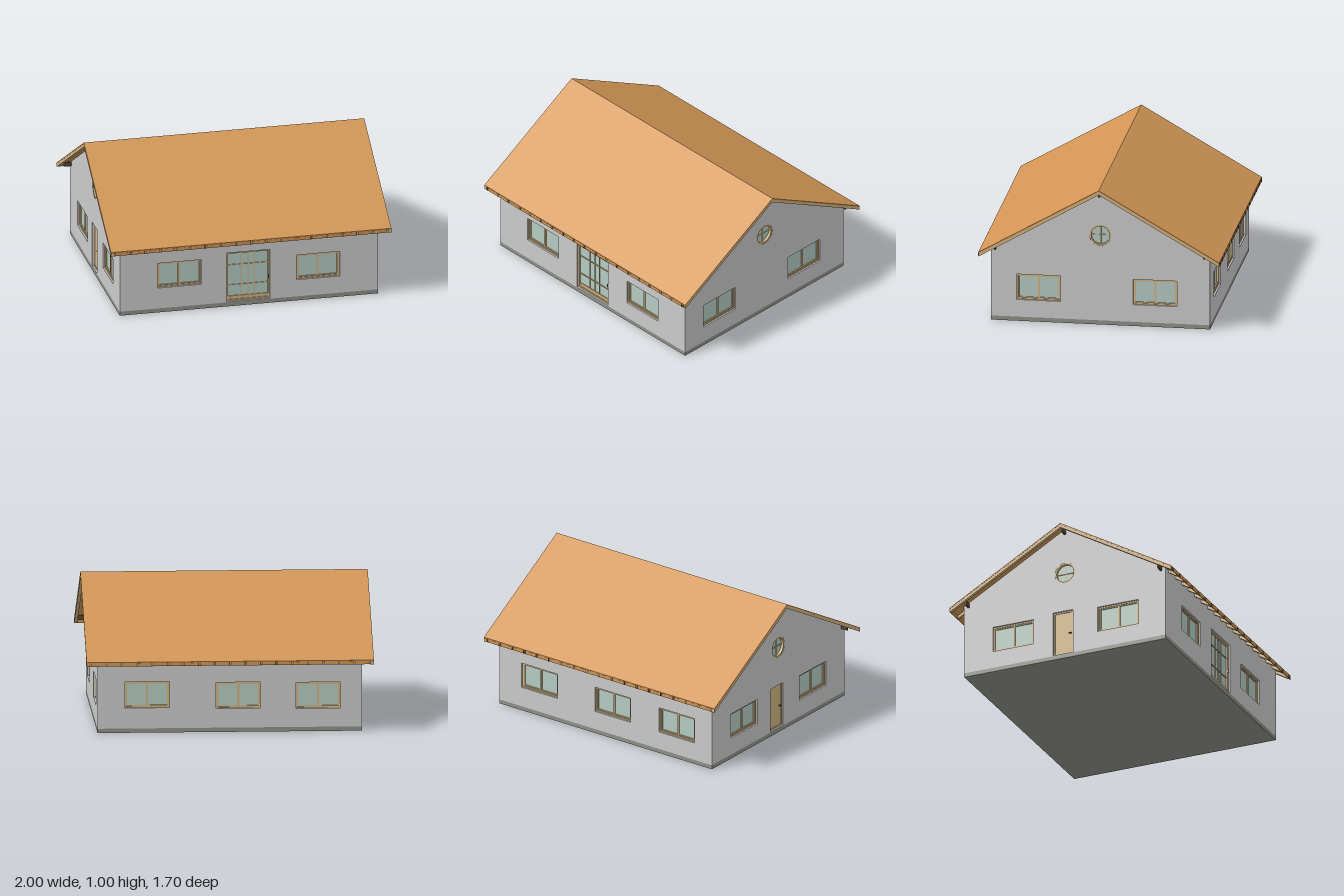
import * as THREE from 'three';

const mat = (color) => new THREE.MeshStandardMaterial({ color });
const GREY = mat(0xcccccc), STONE = mat(0x8f9188), WOOD = mat(0xd2b483), GLASS = mat(0xb5ccc3),
  ROOF = mat(0xd29655), DARK = mat(0x5a4630);

const W = 0.92, D = 0.77, T = 0.05, SLOPE = 0.576, BASE = 0.03, RECESS = 0.012;

function add(parent, name, geometry, material, x = 0, y = 0, z = 0) {
  const mesh = new THREE.Mesh(geometry, material);
  mesh.name = name;
  mesh.position.set(x, y, z);
  parent.add(mesh);
  return mesh;
}
const box = (parent, name, material, w, h, d, x, y, z) =>
  add(parent, name, new THREE.BoxGeometry(w, h, d), material, x, y, z);

const polygon = (pts, Kind = THREE.Shape) => new Kind(pts.map(([x, y]) => new THREE.Vector2(x, y)));
const rect = (x0, y0, x1, y1) => [[x0, y0], [x1, y0], [x1, y1], [x0, y1]];
const extrude = (shape, depth) =>
  new THREE.ExtrudeGeometry(shape, { depth, bevelEnabled: false, curveSegments: 24 });

// Rectangular ring of timber
function frame(parent, name, x0, y0, x1, y1, t, depth, z) {
  const shape = polygon(rect(x0, y0, x1, y1));
  shape.holes.push(polygon(rect(x0 + t, y0 + t, x1 - t, y1 - t), THREE.Path));
  add(parent, name, extrude(shape, depth), WOOD, 0, 0, z - depth);
}

// Two-sash window; z is the frame's outer face
function windowUnit(g, { x0, y0, x1, y1 }, z) {
  const t = 0.01, mid = (x0 + x1) / 2;
  frame(g, 'windowFrame', x0, y0, x1, y1, t, 0.03, z);
  for (const [a, b] of [[x0 + t, mid], [mid, x1 - t]])
    frame(g, 'windowSash', a, y0 + t, b, y1 - t, 0.007, 0.016, z - 0.005);
  box(g, 'windowPane', GLASS, x1 - x0 - t, y1 - y0 - t, 0.006, mid, (y0 + y1) / 2, z - 0.016);
}

// Wide glazed entrance with glazing bars
function glazedDoor(g, { x0, y0, x1, y1 }, z) {
  const mid = (x0 + x1) / 2, cy = (y0 + y1) / 2;
  frame(g, 'doorFrame', x0, y0, x1, y1, 0.011, 0.03, z);
  box(g, 'doorPane', GLASS, x1 - x0 - 0.01, y1 - y0 - 0.01, 0.006, mid, cy, z - 0.016);
  box(g, 'doorKickPanel', WOOD, x1 - x0 - 0.02, 0.03, 0.016, mid, y0 + 0.02, z - 0.014);
  for (const x of [-0.05, 0, 0.045])
    box(g, 'verticalGlazingBar', WOOD, 0.006, y1 - y0 - 0.02, 0.012, x, cy, z - 0.013);
  for (const y of [0.15, 0.3])
    box(g, 'horizontalGlazingBar', WOOD, x1 - x0 - 0.02, 0.006, 0.012, mid, y, z - 0.013);
  box(g, 'doorHandle', DARK, 0.005, 0.022, 0.012, x1 - 0.008, 0.2, z + 0.004);
}

// Plain timber side door
function timberDoor(g, { x0, y0, x1, y1 }, z) {
  frame(g, 'sideDoorFrame', x0, y0, x1, y1, 0.01, 0.03, z);
  box(g, 'sideDoorLeaf', WOOD, x1 - x0 - 0.02, y1 - y0 - 0.02, 0.014,
    (x0 + x1) / 2, (y0 + y1) / 2, z - 0.012);
  box(g, 'sideDoorHandle', DARK, 0.018, 0.006, 0.014, x1 - 0.024, 0.19, z + 0.002);
}

// Round gable window with a cross of glazing bars
function roundWindow(g, { cy, r }, z) {
  const ring = new THREE.Shape().absarc(0, 0, r, 0, Math.PI * 2);
  ring.holes.push(new THREE.Path().absarc(0, 0, r - 0.012, 0, Math.PI * 2, true));
  add(g, 'roundWindowFrame', extrude(ring, 0.035), WOOD, 0, cy, z - 0.025);
  const pane = new THREE.CylinderGeometry(r - 0.005, r - 0.005, 0.006, 32).rotateX(Math.PI / 2);
  add(g, 'roundWindowPane', pane, GLASS, 0, cy, z - 0.012);
  box(g, 'roundWindowBar', WOOD, 2 * r - 0.016, 0.006, 0.012, 0, cy, z - 0.009);
  box(g, 'roundWindowBar', WOOD, 0.006, 2 * r - 0.016, 0.012, 0, cy, z - 0.009);
}

// Wall in its own plane with cut openings, then turned to face outward
function wall(parent, name, outline, distance, angle, openings) {
  const g = new THREE.Group();
  g.name = name;
  const shape = polygon(outline);
  for (const o of openings) {
    shape.holes.push(o.r
      ? new THREE.Path().absarc(0, o.cy, o.r, 0, Math.PI * 2, true)
      : polygon(rect(o.x0, o.y0, o.x1, o.y1), THREE.Path));
    o.build(g, o, distance - RECESS);
  }
  add(g, name + 'Panel', extrude(shape, T), GREY, 0, 0, distance - T);
  g.rotation.y = angle;
  parent.add(g);
}
const opening = (build, x0, y0, x1, y1) => ({ build, x0, y0, x1, y1 });
const win = (x0, y0 = 0.155) => opening(windowUnit, x0, y0, x0 + 0.31, y0 + 0.185);
const round = () => ({ build: roundWindow, cy: 0.65, r: 0.077 });

// Inverted-V band following both roof slopes, extruded along x
function chevron(top, thick, half, width) {
  const low = top - SLOPE * half;
  const shape = polygon([[-half, low], [-half, low - thick], [0, top - thick],
    [half, low - thick], [half, low], [0, top]]);
  return extrude(shape, width).translate(0, 0, -width / 2).rotateY(Math.PI / 2);
}

export function createModel() {
  const house = new THREE.Group();
  house.name = 'house';

  box(house, 'foundation', STONE, 2 * W, BASE, 2 * D, 0, BASE / 2, 0);

  // Walls
  const eave = 0.985 - SLOPE * D, long = W - T;
  const longWall = rect(-long, BASE, long, eave);
  const gable = [[-D, BASE], [D, BASE], [D, eave], [0, 0.985], [-D, eave]];
  wall(house, 'frontWall', longWall, D, 0,
    [win(-0.65, 0.183), opening(glazedDoor, -0.157, 0.034, 0.152, 0.4), win(0.34)]);
  wall(house, 'backWall', longWall, D, Math.PI,
    [win(-0.73, 0.175), win(-0.095, 0.165), win(0.46, 0.16)]);
  wall(house, 'leftGableWall', gable, W, Math.PI / 2, [win(-0.59), win(0.23), round()]);
  wall(house, 'rightGableWall', gable, W, -Math.PI / 2,
    [win(-0.55), opening(timberDoor, -0.09, 0.034, 0.06, 0.36), win(0.25), round()]);

  // Roof covering, rafters and gable-edge boards
  const roof = new THREE.Group();
  roof.name = 'roof';
  house.add(roof);
  add(roof, 'roofCovering', chevron(1, 0.01, 0.847, 2), ROOF);
  for (let i = -8; i <= 8; i++)
    add(roof, 'rafter', chevron(0.99, 0.022, 0.84, 0.016), WOOD, i * 0.108);
  for (const s of [-1, 1])
    add(roof, 'bargeBoard', chevron(0.99, 0.022, 0.846, 0.022), WOOD, s * 0.988);

  // Ridge beam and eave purlins
  box(roof, 'ridgeBeam', DARK, 1.95, 0.025, 0.014, 0, 0.957, 0);
  for (const s of [-1, 1]) {
    box(roof, 'eavePurlin', DARK, 1.95, 0.03, 0.012, 0, 0.54, s * 0.735);
    // Eave board with paired brackets
    box(roof, 'fascia', ROOF, 1.955, 0.022, 0.006, 0, 0.494, s * 0.845);
    for (let i = -9; i <= 9; i++)
      for (const e of [-0.006, 0.006])
        box(roof, 'eaveBracket', DARK, 0.004, 0.024, 0.006, i * 0.108 + e, 0.495, s * 0.847);
  }
  return house;
}
